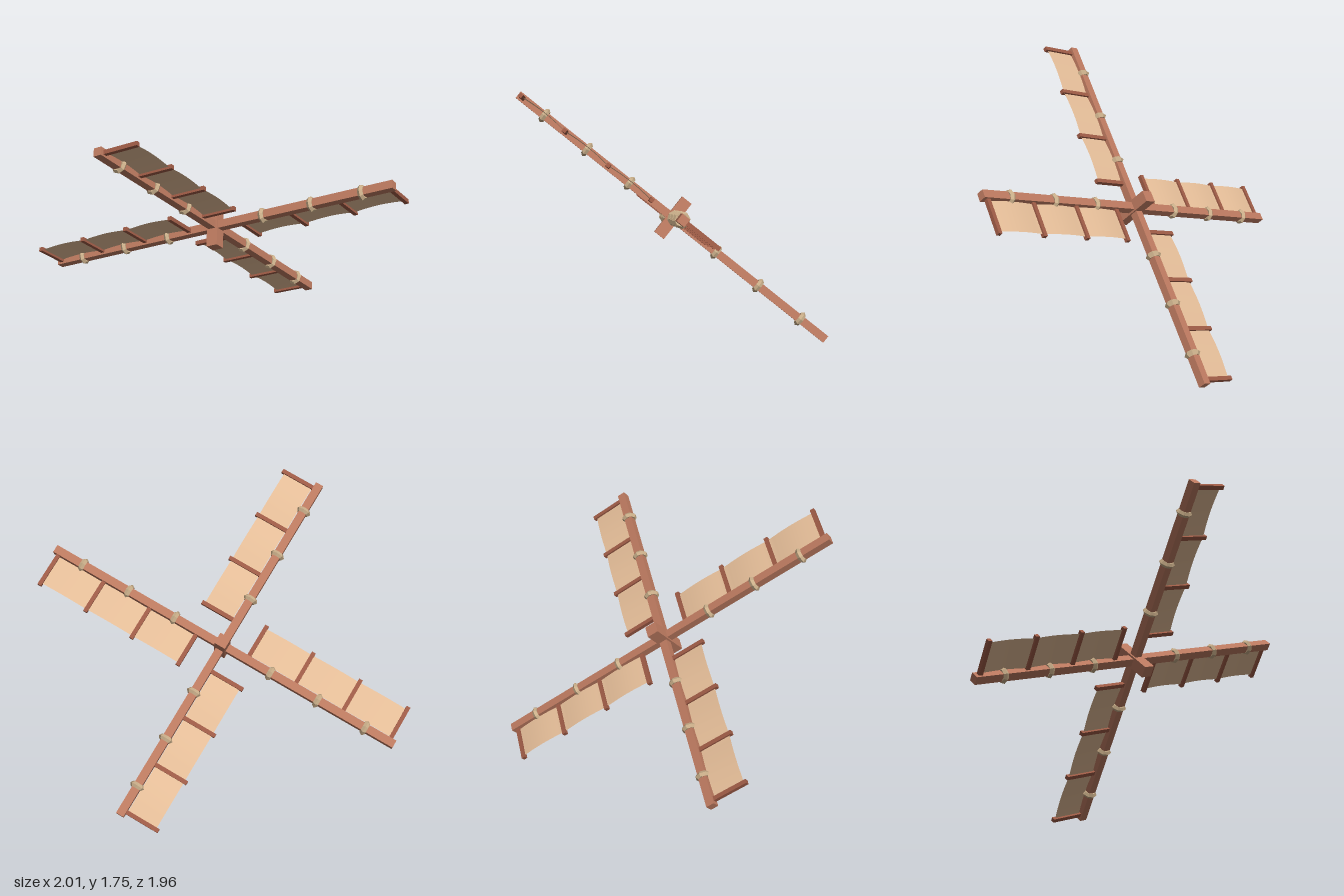
import * as THREE from 'three';

const wood = new THREE.MeshStandardMaterial({ color: 0xbb795f });
wood.name = 'wood';
const darkWood = new THREE.MeshStandardMaterial({ color: 0x9c5a45 });
darkWood.name = 'darkWood';
const canvas = new THREE.MeshStandardMaterial({ color: 0xe3bc97, side: THREE.DoubleSide });
canvas.name = 'canvas';
const rope = new THREE.MeshStandardMaterial({ color: 0xc9ae89, flatShading: true });
rope.name = 'rope';

const ARM = 1.315, SPAR = 0.055, FIRST = 0.19, STEP = 0.362, BAYS = 3;

function add(parent, name, geometry, material, x = 0, y = 0, z = 0) {
  const mesh = new THREE.Mesh(geometry, material);
  mesh.name = name;
  mesh.position.set(x, y, z);
  parent.add(mesh);
  return mesh;
}

// Cloth strip that billows between neighbouring rungs
function sailGeometry() {
  const length = STEP * BAYS, inner = 0.034, outer = 0.25;
  const g = new THREE.PlaneGeometry(length, outer - inner, BAYS * 8, 2);
  g.translate(FIRST + length / 2, (inner + outer) / 2, 0);
  const p = g.attributes.position;
  for (let i = 0; i < p.count; i++) {
    const t = (p.getX(i) - FIRST) / STEP;
    p.setZ(i, 0.012 * Math.abs(Math.sin(Math.PI * t)));
  }
  g.computeVertexNormals();
  return g;
}

// One blade: spar along +x, sail towards +y
function makeBlade() {
  const blade = new THREE.Group();
  blade.name = 'blade';
  add(blade, 'spar', new THREE.BoxGeometry(ARM, SPAR, SPAR), wood, ARM / 2);
  add(blade, 'sail', sailGeometry(), canvas);
  for (let i = 0; i <= BAYS; i++) {
    const x = FIRST + i * STEP;
    add(blade, 'rung', new THREE.BoxGeometry(0.028, 0.27, 0.028), darkWood, x, 0.135);
    if (i < BAYS) {
      const tie = add(blade, 'ropeTie', new THREE.TorusGeometry(0.034, 0.02, 5, 8), rope, x + STEP / 2);
      tie.rotation.y = Math.PI / 2;
    }
  }
  return blade;
}

export function createModel() {
  const model = new THREE.Group();
  model.name = 'windmillSails';

  const rotor = new THREE.Group();
  rotor.name = 'rotor';
  model.add(rotor);

  // Square axle through the crossing
  add(rotor, 'axle', new THREE.BoxGeometry(0.08, 0.08, 0.3), wood);

  // Four blades, a quarter turn apart
  for (let k = 0; k < 4; k++) {
    const blade = makeBlade();
    blade.rotation.z = (k * Math.PI) / 2;
    rotor.add(blade);
  }

  // Tilt the rotor plane
  const a = new THREE.Vector3(-0.97, 0.775, 0.4).normalize();
  const n = new THREE.Vector3().crossVectors(a, new THREE.Vector3(0.77, 0.47, 0.95)).normalize();
  const b = new THREE.Vector3().crossVectors(n, a);
  rotor.quaternion.setFromRotationMatrix(new THREE.Matrix4().makeBasis(a, b, n));
  rotor.position.y = 0.885;
  return model;
}
